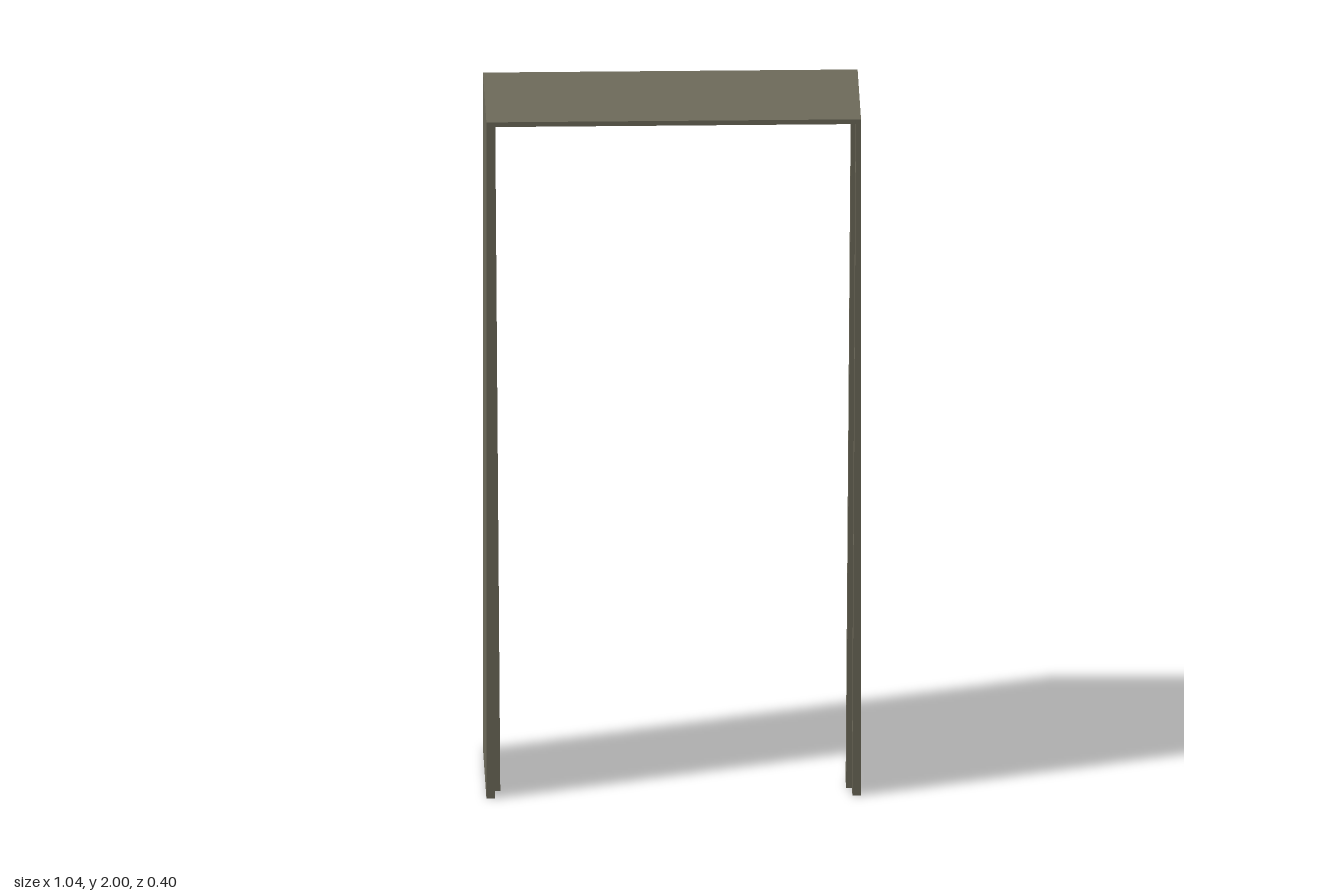
import * as THREE from 'three';

const W = 0.52, H = 2;

// Upside-down U profile; legs thicken slightly toward the floor
function archProfile(outer, inner) {
  const pts = [
    [-W + outer.bottom, 0], [-W + outer.top, H - outer.top],
    [W - outer.top, H - outer.top], [W - outer.bottom, 0],
    [W - inner.bottom, 0], [W - inner.top, H - inner.top],
    [-W + inner.top, H - inner.top], [-W + inner.bottom, 0],
  ];
  return new THREE.Shape(pts.map(([x, y]) => new THREE.Vector2(x, y)));
}

function arch(name, outer, inner, z0, z1, material) {
  const geo = new THREE.ExtrudeGeometry(archProfile(outer, inner), { depth: z1 - z0, bevelEnabled: false });
  geo.translate(0, 0, z0);
  const mesh = new THREE.Mesh(geo, material);
  mesh.name = name;
  return mesh;
}

export function createModel() {
  const group = new THREE.Group();
  group.name = 'doorFrame';
  const paint = new THREE.MeshStandardMaterial({ color: 0x6e6b5b });
  paint.name = 'olive grey paint';

  const face = { top: 0, bottom: 0 };
  const jamb = { top: 0.014, bottom: 0.024 };
  const stop = { top: 0.026, bottom: 0.04 };

  // Jambs and lintel
  group.add(arch('jambsAndLintel', face, jamb, -0.2, 0.2, paint));
  // Raised door stop running round the inside, near the front
  group.add(arch('doorStop', jamb, stop, 0.08, 0.14, paint));
  return group;
}
